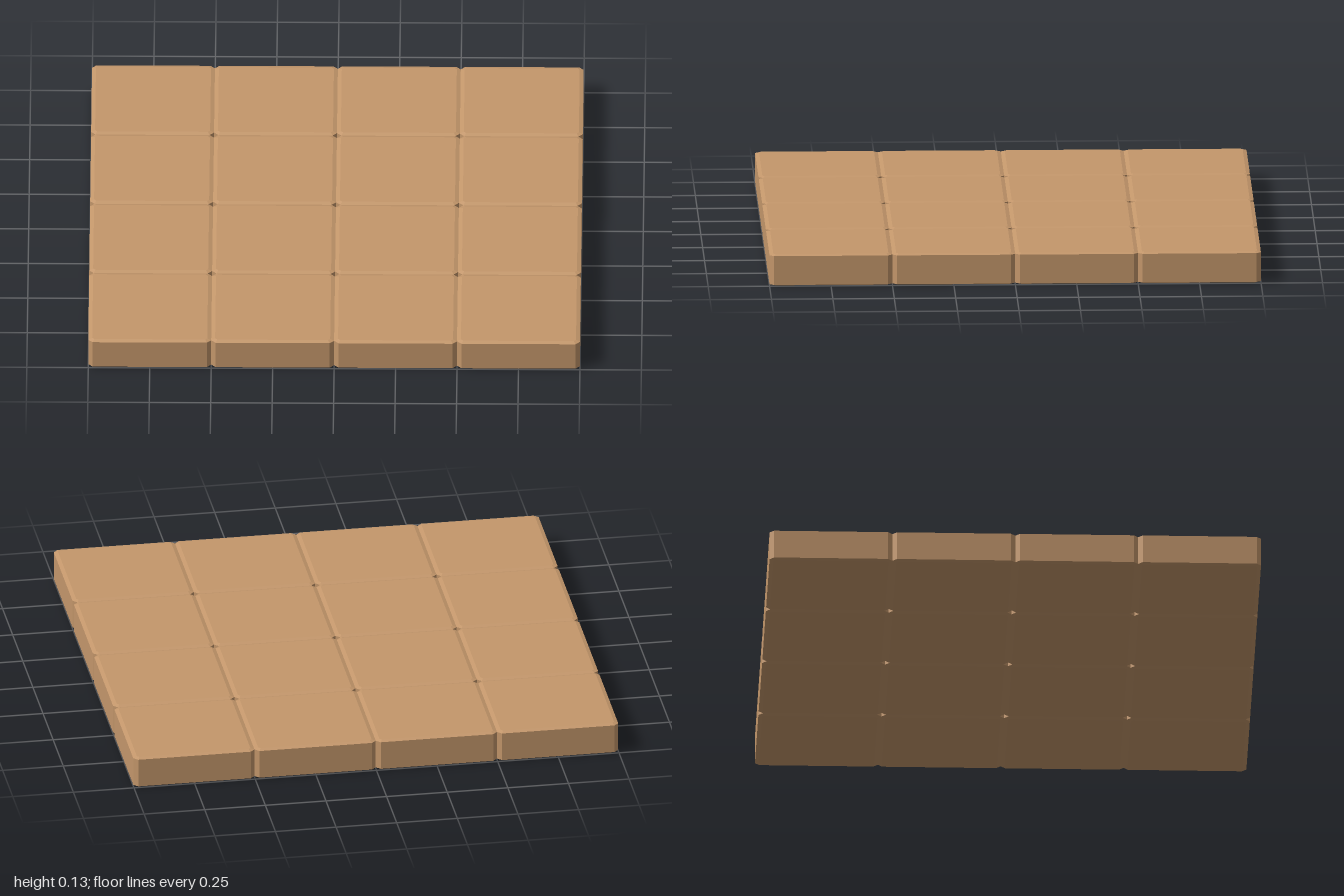
import * as THREE from 'three';

const TILES = 4, SIZE = 0.5, HEIGHT = 0.13;
const CUT = 0.018;                        // clipped vertical corners
const BEVEL_W = 0.016, BEVEL_H = 0.005;   // shallow bevel on top and bottom rims

// One square tile with clipped corners, standing on y = 0
function tileGeometry() {
  const h = SIZE / 2, k = h - CUT;
  const outline = new THREE.Shape([
    [k, -h], [h, -k], [h, k], [k, h], [-k, h], [-h, k], [-h, -k], [-k, -h],
  ].map(([x, y]) => new THREE.Vector2(x, y)));
  const geometry = new THREE.ExtrudeGeometry(outline, {
    depth: HEIGHT - 2 * BEVEL_H,
    bevelEnabled: true,
    bevelSegments: 1,
    bevelSize: BEVEL_W,
    bevelOffset: -BEVEL_W,
    bevelThickness: BEVEL_H,
  });
  geometry.rotateX(-Math.PI / 2);
  geometry.translate(0, BEVEL_H, 0);
  return geometry;
}

export function createModel() {
  const group = new THREE.Group();
  group.name = 'tiledFloor';
  const wood = new THREE.MeshStandardMaterial({ color: 0xc4976b });
  const geometry = tileGeometry();

  // Square grid of touching tiles
  for (let row = 0; row < TILES; row++) {
    for (let col = 0; col < TILES; col++) {
      const tile = new THREE.Mesh(geometry, wood);
      tile.name = `tileRow${row + 1}Column${col + 1}`;
      tile.position.set((col - (TILES - 1) / 2) * SIZE, 0, (row - (TILES - 1) / 2) * SIZE);
      group.add(tile);
    }
  }
  return group;
}
